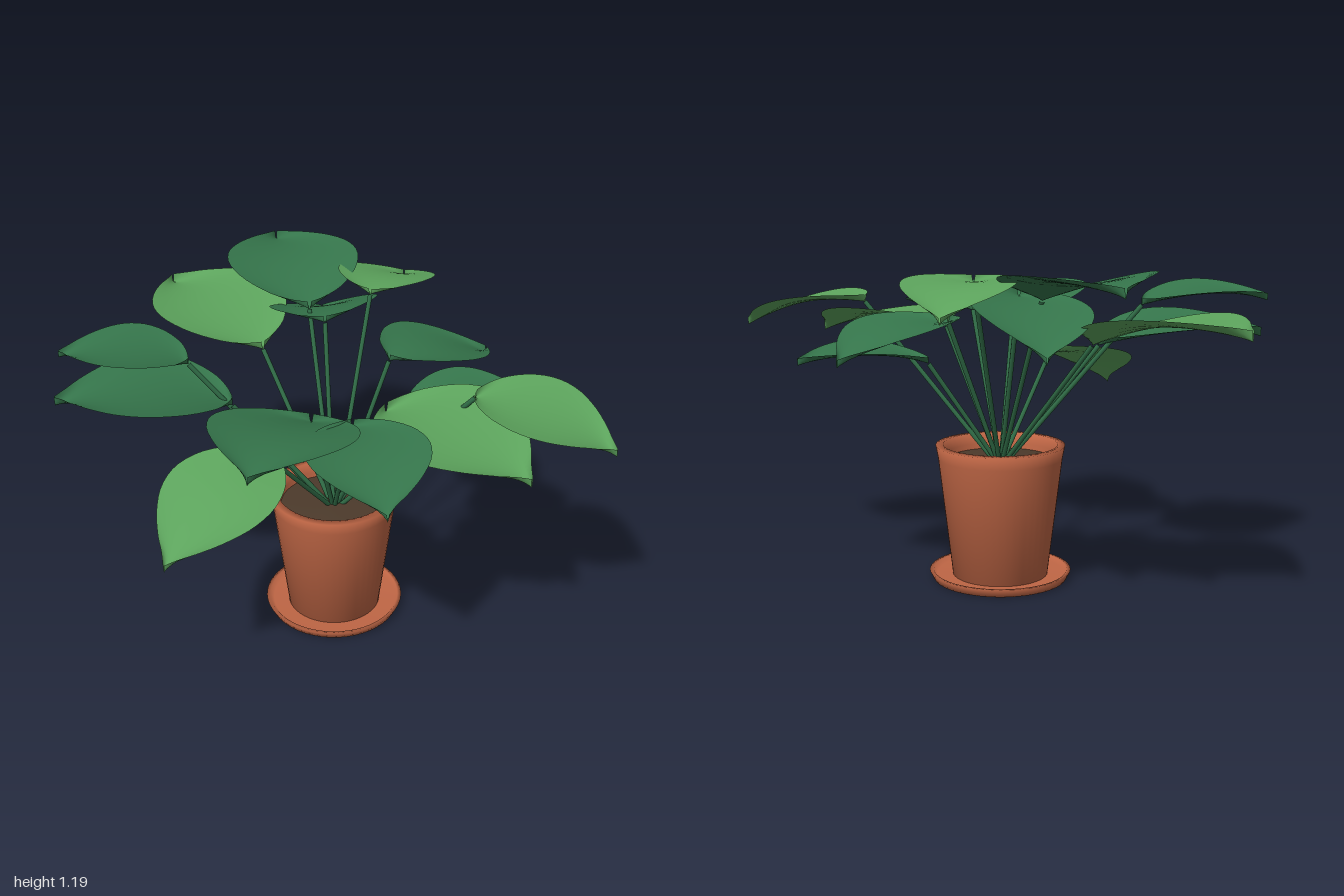
import * as THREE from 'three';

const mat = (name, color, side = THREE.FrontSide) => {
  const m = new THREE.MeshStandardMaterial({ color, side });
  m.name = name;
  return m;
};

// Half outline of a leaf of length 1: distance along the midrib, half width
const OUTLINE = new THREE.SplineCurve([
  [0, 0.012], [0.03, 0.11], [0.1, 0.235], [0.25, 0.365], [0.43, 0.425], [0.6, 0.395],
  [0.75, 0.295], [0.87, 0.17], [0.94, 0.075], [1, 0.006],
].map(([u, w]) => new THREE.Vector2(u, w))).getPoints(28);

// Leaf blade: arched midrib, cupped across with a pinched base and tip
function leafGeometry(base, tip, roll) {
  const along = tip.clone().sub(base);
  const length = Math.hypot(along.x, along.z);
  const side = new THREE.Vector3(-along.z / length, 0, along.x / length);
  const across = 8, pos = [], idx = [];
  OUTLINE.forEach(({ x: u, y: width }, i) => {
    for (let j = 0; j <= across; j++) {
      const v = j / across * 2 - 1, s = v * width * length;
      const p = base.clone().addScaledVector(along, u).addScaledVector(side, s);
      p.y += 0.34 * length * u * (1 - u) + 0.055 * length * v * v + roll * s;
      pos.push(p.x, p.y, p.z);
      if (i < OUTLINE.length - 1 && j < across) {
        const a = i * (across + 1) + j, c = a + across + 1;
        idx.push(a, a + 1, c, a + 1, c + 1, c);
      }
    }
  });
  const g = new THREE.BufferGeometry();
  g.setAttribute('position', new THREE.Float32BufferAttribute(pos, 3));
  g.setIndex(idx);
  g.computeVertexNormals();
  return g;
}

// Leaves: stem end x, y, z, tip x, y, z, light colour?, sideways roll
const LEAVES = [
  [0.5, 1.02, -0.02, 1.0, 0.915, -0.02, 1, 0],
  [0.2, 0.93, 0.05, 0.79, 0.875, 0.22, 1, -0.06],
  [0.19, 0.82, -0.16, 0.58, 0.83, -0.42, 0, 0],
  [0.09, 0.98, -0.22, 0.31, 0.87, -0.66, 0, 0],
  [-0.07, 1.14, -0.4, -0.12, 1.045, -0.84, 1, 0],
  [-0.28, 1.075, -0.31, -0.67, 1.135, -0.77, 0, 0],
  [-0.43, 0.92, -0.21, -1.0, 0.99, -0.48, 1, 0.03],
  [-0.51, 1.02, 0.19, -0.94, 1.035, 0.37, 0, -0.04],
  [-0.36, 0.87, 0.15, -0.91, 0.89, 0.46, 0, -0.04],
  [-0.12, 0.81, 0.33, -0.23, 0.62, 0.84, 1, 0],
  [0.0, 0.93, 0.23, 0.08, 1.02, 0.81, 0, 0],
  [0.17, 0.97, 0.26, 0.47, 0.9, 0.64, 0, 0],
  [-0.17, 1.08, -0.22, -0.4, 0.91, -0.65, 0, 0.1],
];

export function createModel() {
  const model = new THREE.Group();
  model.name = 'pottedPlant';
  const terracotta = mat('terracotta', 0xbf6645);
  const soilBrown = mat('soilBrown', 0x4c3a2b);
  const stemGreen = mat('stemGreen', 0x2f6a45);
  const lightGreen = mat('lightGreen', 0x5ca35c, THREE.DoubleSide);
  const darkGreen = mat('darkGreen', 0x35754b, THREE.DoubleSide);
  const CX = -0.033, CZ = -0.01;

  const add = (name, geometry, material, parent = model) => {
    const mesh = new THREE.Mesh(geometry, material);
    mesh.name = name;
    parent.add(mesh);
    return mesh;
  };
  const turned = (name, profile, material) => {
    const g = new THREE.LatheGeometry(profile.map(([r, y]) => new THREE.Vector2(r, y)), 48);
    add(name, g, material).position.set(CX, 0, CZ);
  };

  // Saucer, pot and soil
  turned('saucer', [[0, 0], [0.25, 0], [0.265, 0.03], [0.25, 0.03], [0.237, 0.014], [0, 0.014]], terracotta);
  turned('pot', [[0, 0.015], [0.178, 0.015], [0.231, 0.46], [0.24, 0.508], [0.212, 0.51],
    [0.203, 0.47], [0.196, 0.42]], terracotta);
  turned('soil', [[0.2, 0.45], [0.12, 0.457], [0, 0.46]], soilBrown);

  // Stems fan out from the soil, each carrying one leaf
  LEAVES.forEach(([bx, by, bz, tx, ty, tz, light, roll], i) => {
    const leaf = new THREE.Group();
    leaf.name = `leafWithStem${i + 1}`;
    model.add(leaf);
    const base = new THREE.Vector3(bx, by, bz), tip = new THREE.Vector3(tx, ty, tz);
    const root = new THREE.Vector3(CX + (bx - CX) * 0.04, 0.44, CZ + (bz - CZ) * 0.04);
    const stem = new THREE.TubeGeometry(new THREE.LineCurve3(root, base), 1, 0.009, 8);
    add('stem', stem, stemGreen, leaf);
    add('leaf', leafGeometry(base, tip, roll), light ? lightGreen : darkGreen, leaf);
  });
  return model;
}
